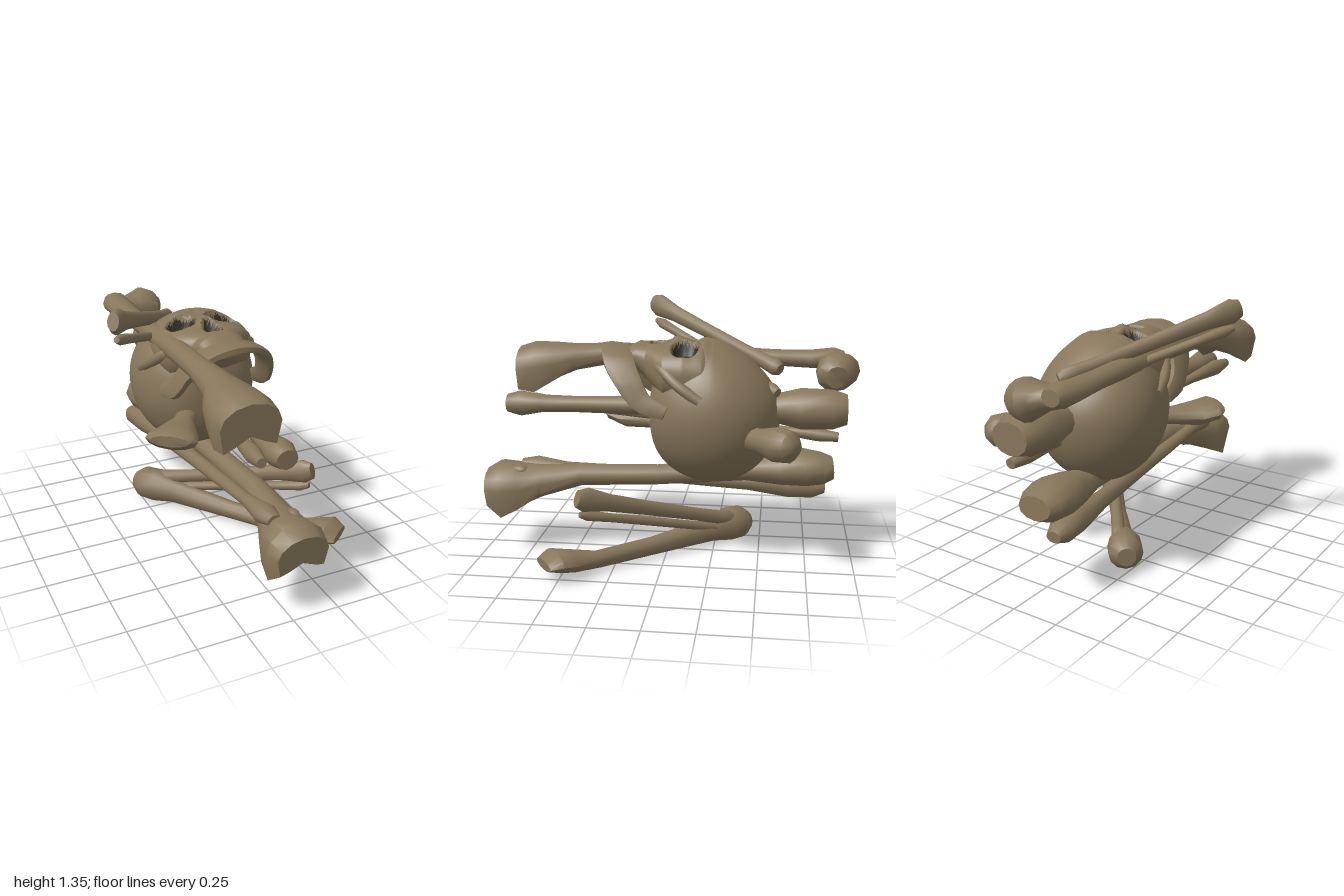
import * as THREE from 'three';
import { mergeVertices, toCreasedNormals } from 'three/addons/utils/BufferGeometryUtils.js';

const V = (x, y, z) => new THREE.Vector3(x, y, z);
const boneMat = new THREE.MeshStandardMaterial({ color: 0x87765a });
boneMat.name = 'old bone';
const hollowMat = new THREE.MeshStandardMaterial({ color: 0x333126 });
hollowMat.name = 'dark hollow';

// Closed skin over a list of rings, each running anticlockwise around the path
function loft(rings) {
  const n = rings[0].length, pos = [], idx = [];
  for (const ring of rings) for (const p of ring) pos.push(p.x, p.y, p.z);
  for (let i = 0; i < rings.length - 1; i++) {
    for (let j = 0; j < n; j++) {
      const a = i * n + j, b = i * n + (j + 1) % n;
      idx.push(a, b, a + n, b, b + n, a + n);
    }
  }
  [0, rings.length - 1].forEach((r, end) => {
    const c = pos.length / 3, mid = V(0, 0, 0);
    rings[r].forEach(p => mid.addScaledVector(p, 1 / n));
    pos.push(mid.x, mid.y, mid.z);
    for (let j = 0; j < n; j++) {
      const a = r * n + j, b = r * n + (j + 1) % n;
      idx.push(c, end ? a : b, end ? b : a);
    }
  });
  const geo = new THREE.BufferGeometry();
  geo.setAttribute('position', new THREE.Float32BufferAttribute(pos, 3));
  geo.setIndex(idx);
  return geo;
}

function mesh(parent, name, geo, mat = boneMat) {
  const m = new THREE.Mesh(geo, mat);
  m.name = name;
  parent.add(m);
  return m;
}

// Long bone from a to b; profile rows: [t, half width, half height, side shift, lift, notch].
// The notch splits the underside into two knuckles. Knobs: [centre, radii].
function bone(parent, name, a, b, profile, knobs = []) {
  const group = new THREE.Group();
  group.name = name;
  parent.add(group);
  const A = V(...a), B = V(...b);
  const t = B.clone().sub(A).normalize();
  const u = V(0, 1, 0).cross(t).normalize(), v = t.clone().cross(u);
  const rings = profile.map(([s, w, h, du = 0, dv = 0, notch = 0]) => {
    const c = A.clone().lerp(B, s);
    return Array.from({ length: 12 }, (_, j) => {
      const q = j / 12 * Math.PI * 2, up = Math.sin(q);
      const drop = up < 0 ? notch * (0.75 - 1.3 * up ** 4) * Math.min(1, -2 * up) : 0;
      return c.clone().addScaledVector(u, du + w * Math.cos(q)).addScaledVector(v, dv + h * (up - drop));
    });
  });
  mesh(group, name + 'Shaft', toCreasedNormals(loft(rings), 0.8));
  for (const [p, r] of knobs) {
    const m = mesh(group, name + 'Knob', new THREE.SphereGeometry(1, 10, 7));
    m.position.set(...p);
    m.scale.set(...r);
  }
}

// Depth, 0 to 1, of the eye and nose openings seen along y
function hollow(x, z) {
  const eye = (cx, rx) => (Math.abs((x - cx) / rx) ** 2.6 + Math.abs((z + 0.105) / 0.068) ** 2.6) ** (1 / 2.6);
  const w = 0.012 + 0.034 * THREE.MathUtils.clamp((z + 0.04) / 0.08, 0, 1);
  const nose = Math.max(Math.abs(x - 0.015) / w, Math.abs(z - 0.02) / 0.065);
  return 1 - THREE.MathUtils.smoothstep(Math.min(eye(-0.1, 0.072), eye(0.14, 0.084), nose), 0.75, 1.1);
}

// Sink the openings, raise brow and nose bridge, and colour the sunken faces
function carve(geo, sink) {
  const p = geo.attributes.position, lit = [], dark = [], src = geo.index.array;
  const flags = [];
  for (let i = 0; i < p.count; i++) {
    const x = p.getX(i), y = p.getY(i), z = p.getZ(i);
    const depth = y > 0.98 ? hollow(x, z) : 0;
    flags[i] = depth > 0.25;
    if (y < 0.98) continue;
    const bridge = 0.03 * Math.exp(-(((x - 0.015) / 0.04) ** 2) - ((z + 0.05) / 0.05) ** 2);
    const brow = 0.02 * Math.exp(-(((Math.abs(x - 0.015) - 0.12) / 0.09) ** 2) - ((z + 0.19) / 0.04) ** 2);
    p.setY(i, y + bridge + brow - sink * depth);
  }
  for (let i = 0; i < src.length; i += 3) {
    const f = [src[i], src[i + 1], src[i + 2]];
    (f.filter(k => flags[k]).length > 1 ? dark : lit).push(...f);
  }
  geo.setIndex([...lit, ...dark]);
  geo.addGroup(0, lit.length, 0);
  geo.addGroup(lit.length, dark.length, 1);
  geo.computeVertexNormals();
  return geo;
}

function buildSkull(parent) {
  const skull = new THREE.Group();
  skull.name = 'skull';
  parent.add(skull);

  // Braincase, flattened towards the crown and across the base
  let ball = new THREE.SphereGeometry(1, 128, 88);
  ball.deleteAttribute('uv');
  ball.deleteAttribute('normal');
  ball = mergeVertices(ball);
  const p = ball.attributes.position;
  for (let i = 0; i < p.count; i++) {
    const z = p.getZ(i);
    if (p.getY(i) > 0) p.setY(i, p.getY(i) * (1 - 0.25 * Math.max(0, -z)));
    if (z > 0) p.setZ(i, 1.1 * z - 0.13 * z ** 6);
  }
  ball.scale(0.335, 0.38, 0.35).translate(0.015, 0.8, -0.25);
  mesh(skull, 'braincase', carve(ball, 0.2), [boneMat, hollowMat]);

  // Face, from forehead to upper teeth: z, half width, top, bottom
  const rows = [[-0.3, 0.22, 1.1, 0.85], [-0.2, 0.26, 1.155, 0.85], [-0.1, 0.265, 1.175, 0.85], [0, 0.25, 1.165, 0.87],
    [0.05, 0.2, 1.165, 0.92], [0.1, 0.145, 1.165, 0.97], [0.15, 0.13, 1.165, 1.02], [0.2, 0.115, 1.14, 1.05]];
  const rings = [], steps = 14;
  for (let i = 0; i < rows.length - 1; i++) {
    for (let k = 0; k < steps + (i === rows.length - 2 ? 1 : 0); k++) {
      const [z, w, top, bottom] = rows[i].map((q, c) => THREE.MathUtils.lerp(q, rows[i + 1][c], k / steps));
      rings.push(Array.from({ length: 144 }, (_, j) => {
        const q = j / 144 * Math.PI * 2, soft = e => Math.sign(e) * Math.abs(e) ** 0.85;
        return V(0.015 + w * soft(Math.cos(q)), (top + bottom) / 2 + (top - bottom) / 2 * soft(Math.sin(q)), z);
      }));
    }
  }
  mesh(skull, 'face', carve(loft(rings), 0.075), [boneMat, hollowMat]);

  // Cheekbones
  for (const s of [-1, 1]) {
    const path = new THREE.CatmullRomCurve3([V(0.015 + s * 0.13, 1.07, 0.06), V(0.015 + s * 0.22, 1.05, 0),
      V(0.015 + s * 0.28, 0.98, -0.09), V(0.015 + s * 0.305, 0.91, -0.2)]);
    mesh(skull, 'cheekbone', new THREE.TubeGeometry(path, 12, 0.028, 8));
  }

  // Lower jaw: a flat band bent in a U, narrowing towards the hinges
  const side = [[0.26, 0.84, -0.02], [0.25, 0.89, 0.1], [0.215, 1, 0.18], [0.15, 1.09, 0.235]];
  const jaw = new THREE.CatmullRomCurve3([...side.map(([x, y, z]) => V(0.025 - x, y, z)), V(0.025, 1.135, 0.265),
    ...side.reverse().map(([x, y, z]) => V(0.025 + x, y, z))]);
  const band = [];
  for (let i = 0; i <= 28; i++) {
    const c = jaw.getPoint(i / 28), t = jaw.getTangent(i / 28);
    const wide = V(0, 0.1, 1).addScaledVector(t, -V(0, 0.1, 1).dot(t)).normalize();
    const thick = wide.clone().cross(t);
    const w = 0.035 + 0.045 * Math.sin(i / 28 * Math.PI);
    band.push([[1, -0.6], [1, 0.6], [0.6, 1], [-0.6, 1], [-1, 0.6], [-1, -0.6], [-0.6, -1], [0.6, -1]].map(([k, q]) =>
      c.clone().addScaledVector(thick, k * 0.022).addScaledVector(wide, q * w)));
  }
  mesh(skull, 'lowerJaw', toCreasedNormals(loft(band), 0.8));
}

export function createModel() {
  const model = new THREE.Group();
  model.name = 'bonePile';
  buildSkull(model);

  // Upper thigh bone, with a neck and head at the back
  bone(model, 'upperThighBone', [-0.2, 1.06, -0.93], [-0.165, 1, 0.84], [
    [0, 0.05, 0.04], [0.03, 0.075, 0.06], [0.1, 0.075, 0.05], [0.2, 0.062, 0.045, 0, 0.01], [0.5, 0.062, 0.055, 0, 0.04],
    [0.7, 0.065, 0.058, 0, 0.05], [0.82, 0.095, 0.075, 0.01, 0.035, 0.2], [0.89, 0.145, 0.105, 0, 0.015, 0.6],
    [0.95, 0.16, 0.125, 0, 0, 0.9], [1, 0.155, 0.105, 0, -0.005, 0.9]]);
  bone(model, 'upperThighHead', [-0.22, 1.05, -0.85], [0.06, 1, -0.88], [
    [0, 0.07, 0.05], [0.3, 0.07, 0.06], [0.5, 0.095, 0.085, 0.01], [0.65, 0.115, 0.105, 0.02], [0.87, 0.1, 0.09], [1, 0.06, 0.06]]);

  // Lower thigh bone, with a large head at the back
  bone(model, 'lowerThighBone', [-0.05, 0.49, -0.885], [0.045, 0.37, 0.99], [
    [0, 0.09, 0.06], [0.03, 0.125, 0.085], [0.08, 0.14, 0.1, 0, 0.01], [0.15, 0.115, 0.09, 0, 0.01], [0.25, 0.065, 0.06, 0, 0.01],
    [0.5, 0.06, 0.055, 0.03, 0.01], [0.72, 0.062, 0.06, 0.04, 0.03], [0.84, 0.095, 0.09, 0.02, 0, 0.2],
    [0.91, 0.14, 0.125, 0, -0.02, 0.6], [0.96, 0.16, 0.14, 0, -0.02, 0.85], [1, 0.14, 0.09, 0, -0.01, 0.8]]);
  bone(model, 'lowerSplintBone', [-0.13, 0.35, -0.85], [-0.02, 0.46, 0.82], [
    [0, 0.04, 0.03], [0.04, 0.07, 0.06], [0.12, 0.065, 0.07], [0.25, 0.045, 0.048], [0.5, 0.04, 0.042], [0.85, 0.035, 0.03],
    [0.95, 0.06, 0.05], [1, 0.04, 0.03]],
  [[[0.09, 0.45, 0.8], [0.035, 0.035, 0.05]]]);

  // Shin bones below the skull
  bone(model, 'shinBone', [0.035, 0.83, -0.94], [0, 0.81, 0.88], [
    [0, 0.105, 0.08], [0.04, 0.135, 0.105], [0.13, 0.13, 0.11], [0.21, 0.09, 0.075], [0.35, 0.065, 0.06], [0.5, 0.06, 0.055],
    [0.8, 0.048, 0.045], [0.9, 0.06, 0.05], [0.96, 0.075, 0.07], [1, 0.055, 0.05]]);
  bone(model, 'shinSplintBone', [0.07, 0.69, -0.9], [-0.12, 0.81, 0.86], [
    [0, 0.03, 0.025], [0.06, 0.04, 0.035], [0.15, 0.025, 0.025], [0.8, 0.028, 0.025], [0.94, 0.042, 0.045], [1, 0.025, 0.025]]);

  // Upper arm bone behind the skull
  bone(model, 'crossedArmBone', [0.42, 0.715, -0.68], [-0.35, 0.7, 0.33], [
    [0, 0.04, 0.035], [0.03, 0.08, 0.08], [0.09, 0.09, 0.09], [0.17, 0.06, 0.065], [0.5, 0.045, 0.045], [0.78, 0.06, 0.045, 0, -0.01],
    [0.9, 0.12, 0.06, 0, -0.01], [0.97, 0.135, 0.055, 0, 0.01], [1, 0.1, 0.03, 0, 0.02]]);

  // Upper arm bone on the ground
  bone(model, 'groundArmBone', [-0.26, 0.1, -0.43], [0.52, 0.09, 0.57], [
    [0, 0.05, 0.05], [0.04, 0.09, 0.09], [0.11, 0.09, 0.095], [0.2, 0.055, 0.07, 0, -0.01], [0.5, 0.045, 0.05, 0, -0.03],
    [0.76, 0.05, 0.045, 0, -0.035], [0.88, 0.095, 0.055, 0, -0.01], [0.95, 0.12, 0.055, 0, 0.01], [1, 0.09, 0.025]]);

  // Forearm pairs: one leaning on the skull, one on the ground
  const thick = [[0, 0.03, 0.03], [0.03, 0.042, 0.045], [0.1, 0.036, 0.04], [0.25, 0.032, 0.036], [0.6, 0.034, 0.04],
    [0.82, 0.035, 0.047], [0.95, 0.042, 0.065], [1, 0.03, 0.045]];
  const thin = [[0, 0.025, 0.025], [0.04, 0.036, 0.036], [0.14, 0.025, 0.025], [0.8, 0.024, 0.024], [0.95, 0.028, 0.028], [1, 0.015, 0.015]];
  bone(model, 'upperForearmThick', [0.02, 1.03, -0.59], [-0.55, 1.31, 0.15], thick);
  bone(model, 'upperForearmThin', [0.1, 0.92, -0.58], [-0.53, 1.21, 0.13], thin);
  bone(model, 'groundForearmThick', [-0.17, 0.13, -0.36], [0.43, 0.42, 0.41], thick);
  bone(model, 'groundForearmThin', [-0.15, 0.08, -0.33], [0.42, 0.33, 0.4], thin);

  return model;
}
